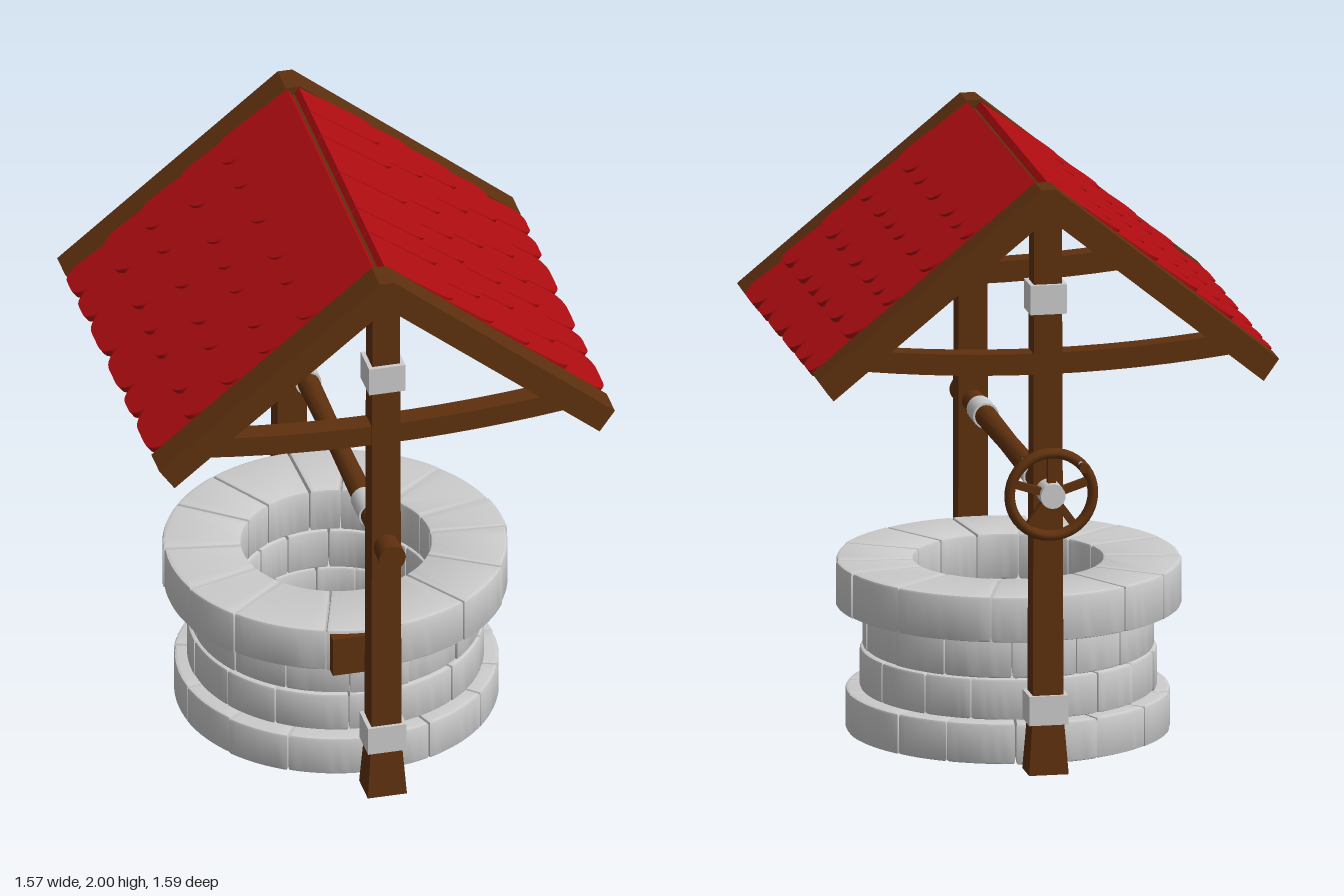
import * as THREE from 'three';
import { toCreasedNormals } from 'three/addons/utils/BufferGeometryUtils.js';

const wood = new THREE.MeshStandardMaterial({ color: 0x5e300e });
const red = new THREE.MeshStandardMaterial({ color: 0xb00c10 });
const stone = new THREE.MeshStandardMaterial({ color: 0xcccccc });
const metal = stone;

const FRONT_Z = 0.667, BACK_Z = -0.607, WELL_Z = 0.03, AXLE_Y = 0.97;

let seed = 7;
const rand = () => (seed = (seed * 16807) % 2147483647) / 2147483647;

function add(parent, name, geometry, material, x = 0, y = 0, z = 0) {
  const mesh = new THREE.Mesh(geometry, material);
  mesh.name = name;
  mesh.position.set(x, y, z);
  parent.add(mesh);
  return mesh;
}

function group(parent, name) {
  const g = new THREE.Group();
  g.name = name;
  parent.add(g);
  return g;
}

// Square bar, standing on y = 0, tapering from bottom to top half-widths
function taperedBar(bottom, top, height) {
  const g = new THREE.CylinderGeometry(top * Math.SQRT2, bottom * Math.SQRT2, height, 4);
  g.rotateY(Math.PI / 4).translate(0, height / 2, 0);
  return toCreasedNormals(g, 0.5);
}

// Round bar along z
const roundBar = (r0, r1, length, sides = 20) =>
  new THREE.CylinderGeometry(r0, r1, length, sides).rotateX(Math.PI / 2);

// Wedge-shaped stone with softened edges
function stoneGeometry(rIn, rOut, a0, a1, height) {
  const b = 0.01;
  const gi = (b + 0.002) / rIn, go = (b + 0.002) / rOut;
  const s = new THREE.Shape();
  s.absarc(0, 0, rOut - b, a0 + go, a1 - go, false);
  s.absarc(0, 0, rIn + b, a1 - gi, a0 + gi, true);
  const g = new THREE.ExtrudeGeometry(s, {
    depth: height - 2 * b, bevelThickness: b, bevelSize: b, bevelSegments: 2, curveSegments: 5,
  });
  g.rotateX(-Math.PI / 2).translate(0, b, 0);
  return toCreasedNormals(g, 0.6);
}

function buildWall(parent) {
  const wall = group(parent, 'stoneWall');
  wall.position.z = WELL_Z;
  const rings = [ // y, height, inner radius, outer radius, stones, turn
    [0, 0.14, 0.3, 0.545, 14, 0.12],
    [0.14, 0.14, 0.31, 0.495, 15, 0.3],
    [0.28, 0.145, 0.31, 0.487, 14, 0.05],
    [0.425, 0.157, 0.315, 0.577, 14, 0.3],
  ];
  for (const [y, h, rIn, rOut, n, turn] of rings) {
    const cuts = Array.from({ length: n }, (_, i) => turn + ((i + (rand() - 0.5) * 0.35) * 2 * Math.PI) / n);
    cuts.push(cuts[0] + 2 * Math.PI);
    for (let i = 0; i < n; i++) {
      const r = rOut - rand() * 0.008;
      add(wall, 'stone', stoneGeometry(rIn, r, cuts[i], cuts[i + 1], h), stone, 0, y, 0);
    }
  }
  // Small board set in the rim behind the front post
  add(parent, 'rimBoard', new THREE.BoxGeometry(0.19, 0.14, 0.06), wood, -0.065, 0.5, 0.59);
}

function buildPost(parent, name, z) {
  const post = group(parent, name);
  post.position.z = z;
  add(post, 'foot', taperedBar(0.067, 0.052, 0.2), wood).scale.z = 0.88;
  add(post, 'shaft', taperedBar(0.052, 0.047, 1.77), wood, 0, 0.17, 0).scale.z = 0.9;
  add(post, 'lowerBand', new THREE.BoxGeometry(0.132, 0.1, 0.116), metal, 0, 0.22, 0);
  add(post, 'upperBand', new THREE.BoxGeometry(0.124, 0.1, 0.116), metal, 0, 1.625, 0);

  // Pair of rafters meeting at the peak
  const half = [[0.025, 2], [0.78, 1.385], [0.728, 1.312], [0, 1.902]];
  const pts = [...half, ...half.slice(0, 3).reverse().map(([x, y]) => [-x, y])];
  const rafters = new THREE.Shape(pts.map(([x, y]) => new THREE.Vector2(x, y)));
  add(post, 'rafters', new THREE.ExtrudeGeometry(rafters, { depth: 0.11, bevelEnabled: false }), wood, 0, 0, -0.055);

  // Sagging tie beam
  const beam = new THREE.BoxGeometry(1.24, 0.072, 0.075, 12, 1, 1);
  const p = beam.attributes.position;
  for (let i = 0; i < p.count; i++) {
    p.setY(i, p.getY(i) + 1.402 + 0.03 * (p.getX(i) / 0.55) ** 2);
  }
  beam.computeVertexNormals();
  add(post, 'tieBeam', beam, wood);
}

// Shingle: x runs down the slope to a rounded tip, thickness along z
function shingleGeometry(width, length) {
  const w = width / 2 - 0.003, r = 0.07;
  const s = new THREE.Shape();
  s.moveTo(-length, -w);
  s.lineTo(-r, -w);
  s.bezierCurveTo(-r * 0.35, -w, 0, -w * 0.75, 0, -w * 0.35);
  s.lineTo(0, w * 0.35);
  s.bezierCurveTo(0, w * 0.75, -r * 0.35, w, -r, w);
  s.lineTo(-length, w);
  const g = new THREE.ExtrudeGeometry(s, { depth: 0.026, bevelEnabled: false, curveSegments: 8 });
  return toCreasedNormals(g.translate(0, 0, -0.026), 0.6);
}

function buildRoof(parent) {
  const roof = group(parent, 'roof');
  const wide = 0.234, narrow = 0.156;
  const patterns = [
    [narrow, narrow, wide, wide, narrow, wide],
    [wide, wide, narrow, narrow, wide, narrow],
  ];
  const tips = [[0.785, 1.386], [0.66, 1.498], [0.535, 1.602], [0.405, 1.708], [0.272, 1.815]];
  const tilt = Math.atan2(0.56, 0.78);
  for (const side of [1, -1]) {
    const slope = group(roof, side > 0 ? 'leftSlope' : 'rightSlope');
    const down = new THREE.Vector3(side * Math.cos(tilt), -Math.sin(tilt), 0);
    const normal = new THREE.Vector3(side * Math.sin(tilt), Math.cos(tilt), 0);
    const basis = new THREE.Matrix4().makeBasis(down, normal.clone().cross(down), normal);
    tips.forEach(([x, y], row) => {
      let z = -0.558;
      for (const width of patterns[row % 2]) {
        const tile = add(slope, 'shingle', shingleGeometry(width, 0.31), red, side * x, y, z + width / 2);
        tile.quaternion.setFromRotationMatrix(basis);
        z += width;
      }
    });
  }
  // Ridge beam with a slight sag
  const ridge = new THREE.BoxGeometry(0.062, 0.08, 1.2, 1, 1, 10);
  const p = ridge.attributes.position;
  for (let i = 0; i < p.count; i++) p.setY(i, p.getY(i) + 0.014 * (p.getZ(i) / 0.6) ** 2);
  ridge.computeVertexNormals();
  add(roof, 'ridgeBeam', ridge, wood, 0, 1.916, 0.03);
}

function buildWindlass(parent) {
  const windlass = group(parent, 'windlass');
  windlass.position.y = AXLE_Y;
  // Axle, slightly slimmer in the middle
  const profile = [[0, -0.7], [0.038, -0.7], [0.037, -0.35], [0.033, 0.03], [0.037, 0.4], [0.038, 0.73], [0, 0.73]];
  const axle = new THREE.LatheGeometry(profile.map(([r, y]) => new THREE.Vector2(r, y)), 20).rotateX(Math.PI / 2);
  add(windlass, 'axle', toCreasedNormals(axle, 0.6), wood);
  add(windlass, 'axleEnd', roundBar(0.046, 0.044, 0.085), wood, 0, 0, 0.753);
  for (const z of [0.458, -0.395]) add(windlass, 'axleBand', roundBar(0.044, 0.044, 0.11), metal, 0, 0, z);

  // Hand wheel behind the back post
  const wheel = group(windlass, 'handWheel');
  wheel.position.z = -0.705;
  add(wheel, 'rim', new THREE.TorusGeometry(0.141, 0.018, 10, 40), wood).scale.z = 1.35;
  add(wheel, 'hub', roundBar(0.042, 0.042, 0.1), metal, 0, 0, 0.015);
  for (let i = 0; i < 5; i++) {
    const a = Math.PI / 2 + (i * 2 * Math.PI) / 5;
    const spoke = add(wheel, 'spoke', new THREE.BoxGeometry(0.12, 0.026, 0.024), wood,
      Math.cos(a) * 0.085, Math.sin(a) * 0.085, 0);
    spoke.rotation.z = a;
  }
  add(wheel, 'handlePin', roundBar(0.008, 0.008, 0.05, 10), metal, -0.095, 0.105, -0.035);
  add(wheel, 'handleGrip', roundBar(0.011, 0.016, 0.042, 14), wood, -0.095, 0.105, -0.069);
}

export function createModel() {
  const model = new THREE.Group();
  model.name = 'well';
  buildWall(model);
  buildPost(model, 'frontFrame', FRONT_Z);
  buildPost(model, 'backFrame', BACK_Z);
  buildRoof(model);
  buildWindlass(model);
  return model;
}
